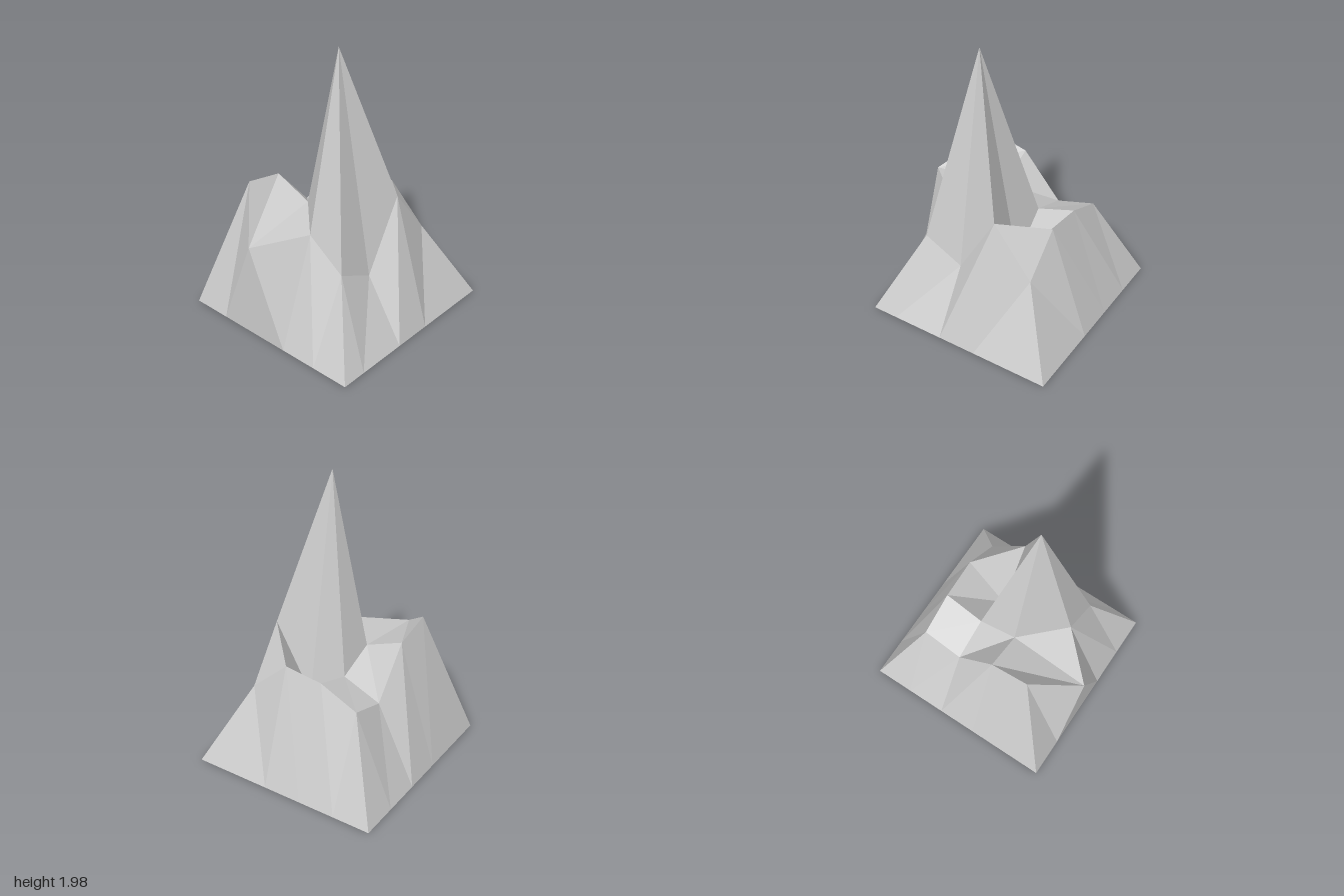
import * as THREE from 'three';

// Grid lines of the terrain; rows run from back (-z) to front (+z)
const xs = [-0.67, -0.4, -0.13, 0.14, 0.41, 0.68];
const zs = [-0.67, -0.4, -0.135, 0.135, 0.4, 0.67];
const BASE = 0.012;

// Heights of the inner grid points, back row first
const heights = [
  [0.96, 0.9, 0.58, 0.67],
  [0.7, 0.79, 0.69, 0.79],
  [0.78, 1.99, 0.45, 0.82],
  [0.59, 0.45, 0.93, 0.57],
];

// Cells (row, column) split from back-left to front-right; the rest split the other way
const flipped = new Set(['0,0', '1,0', '3,2', '4,4']);

function gridPoint(i, j) {
  const inner = i > 0 && i < 5 && j > 0 && j < 5;
  const p = [xs[j], inner ? heights[i - 1][j - 1] : BASE, zs[i]];
  if (i === 2 && j === 1) p[0] = -0.682; // crag pushed out over the left edge
  if (i === 5 && j === 1) p[0] = -0.49; // skewed foot on the front edge
  return p;
}

function facetMesh(name, points, material) {
  const geometry = new THREE.BufferGeometry();
  geometry.setAttribute('position', new THREE.Float32BufferAttribute(points.flat(), 3));
  geometry.computeVertexNormals();
  const mesh = new THREE.Mesh(geometry, material);
  mesh.name = name;
  return mesh;
}

export function createModel() {
  const group = new THREE.Group();
  group.name = 'mountain';
  const material = new THREE.MeshStandardMaterial({ color: 0xcccccc, flatShading: true });

  // Faceted slopes and spire
  const slopes = [];
  for (let i = 0; i < 5; i++) {
    for (let j = 0; j < 5; j++) {
      const a = gridPoint(i, j), b = gridPoint(i, j + 1);
      const c = gridPoint(i + 1, j), d = gridPoint(i + 1, j + 1);
      if (flipped.has(`${i},${j}`)) slopes.push(a, c, d, a, d, b);
      else slopes.push(a, c, b, c, d, b);
    }
  }
  group.add(facetMesh('mountainSlopes', slopes, material));

  // Flat underside
  const [a, b, c, d] = [gridPoint(0, 0), gridPoint(0, 5), gridPoint(5, 0), gridPoint(5, 5)];
  group.add(facetMesh('underside', [a, b, d, a, d, c], material));

  return group;
}
